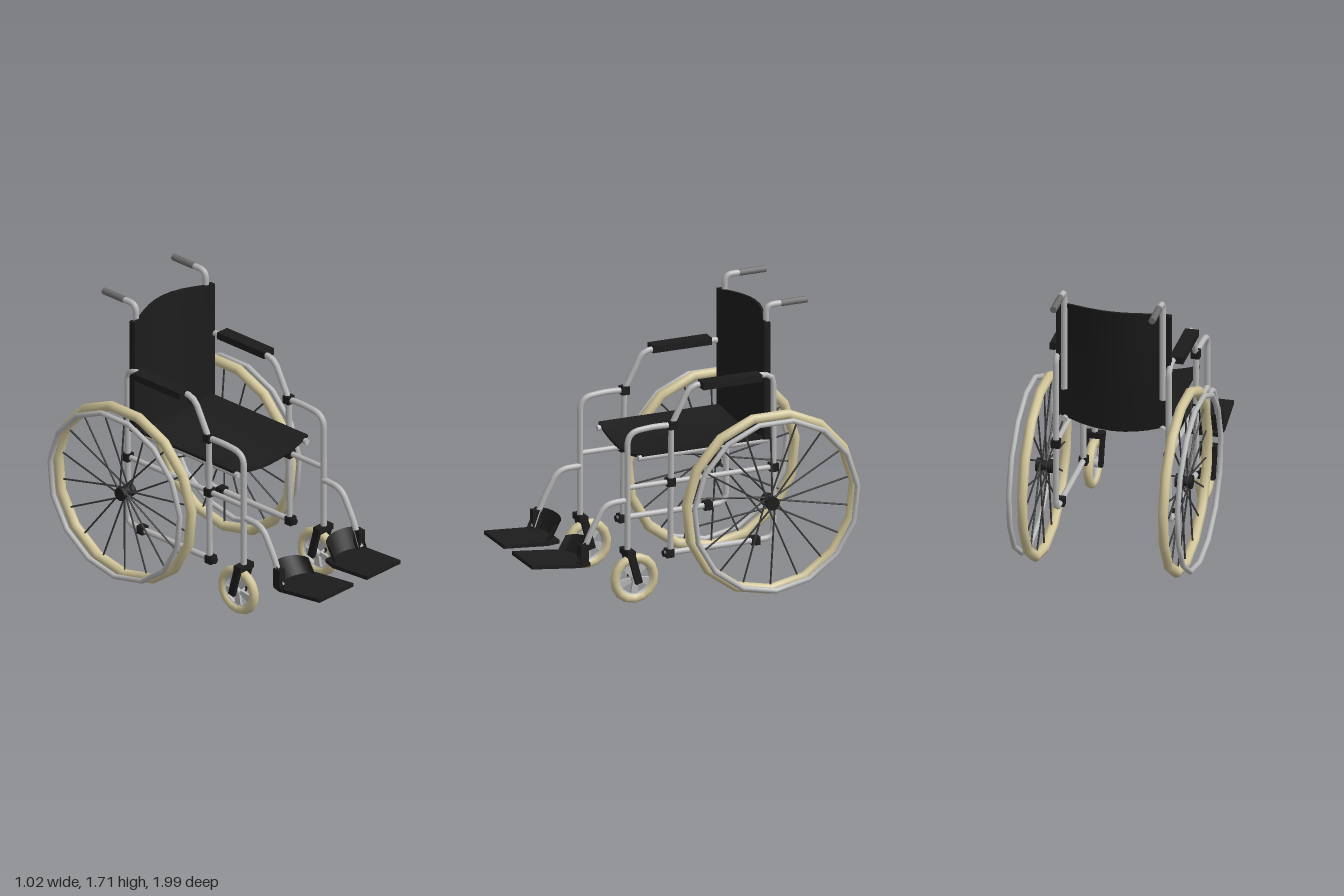
import * as THREE from 'three';

const V = (x, y, z) => new THREE.Vector3(x, y, z);
const mat = (name, color) => Object.assign(new THREE.MeshStandardMaterial({ color }), { name });

export function createModel() {
  const root = new THREE.Group();
  root.name = 'wheelchair';
  const black = mat('black', 0x1c1c1c);
  const silver = mat('silver', 0xb8b8b8);
  const cream = mat('cream rubber', 0xd0c498);
  const grey = mat('grip grey', 0x6c6c6c);
  const dark = mat('spoke grey', 0x3a3a3a);
  const fabric = mat('black strap', 0x1c1c1c);
  fabric.side = THREE.DoubleSide;

  const add = (name, geo, material, parent = root) => {
    const m = new THREE.Mesh(geo, material);
    m.name = name;
    parent.add(m);
    return m;
  };
  const box = (name, w, h, d, x, y, z, material, parent) =>
    add(name, new THREE.BoxGeometry(w, h, d).translate(x, y, z), material, parent);

  // straight round bar between two points
  const rod = (name, a, b, r, material, parent, sides = 8) => {
    const d = b.clone().sub(a);
    const geo = new THREE.CylinderGeometry(r, r, d.length(), sides);
    geo.applyQuaternion(new THREE.Quaternion().setFromUnitVectors(V(0, 1, 0), d.normalize()));
    const c = a.clone().add(b).multiplyScalar(0.5);
    return add(name, geo.translate(c.x, c.y, c.z), material, parent);
  };

  // bent tube in a side plane: points are [z, y], corners rounded by bend
  const bentTube = (name, x, pts, bend, parent, r = 0.018) => {
    const p = pts.map(([z, y]) => V(x, y, z));
    const path = new THREE.CurvePath();
    let from = p[0];
    for (let i = 1; i < p.length - 1; i++) {
      const b = Math.min(bend, p[i].distanceTo(p[i - 1]) * 0.48, p[i].distanceTo(p[i + 1]) * 0.48);
      const toward = (q) => p[i].clone().add(q.clone().sub(p[i]).setLength(b));
      const enter = toward(p[i - 1]), leave = toward(p[i + 1]);
      path.add(new THREE.LineCurve3(from, enter));
      path.add(new THREE.QuadraticBezierCurve3(enter, p[i], leave));
      from = leave;
    }
    path.add(new THREE.LineCurve3(from, p[p.length - 1]));
    return add(name, new THREE.TubeGeometry(path, 60, r, 8), silver, parent);
  };

  // ring with its axis along x and a corner at the bottom
  const ring = (name, R, r, x, y, z, material, parent) => add(name,
    new THREE.TorusGeometry(R, r, 8, 15).rotateZ(-Math.PI / 2).rotateY(Math.PI / 2).translate(x, y, z),
    material, parent);

  // seat: sheet sagging between the rails, deepest at the front
  const seat = new THREE.BoxGeometry(0.62, 0.016, 0.75, 8, 1, 6);
  const sp = seat.attributes.position;
  for (let i = 0; i < sp.count; i++) {
    const u = sp.getX(i) / 0.31, t = sp.getZ(i) / 0.75 + 0.5;
    sp.setY(i, sp.getY(i) + 0.903 - (0.025 + 0.035 * t) * (1 - u * u));
  }
  seat.translate(0, 0, -0.08).computeVertexNormals();
  add('seat', seat, black);

  // backrest: sling bulging backwards, more at the top
  const back = new THREE.BoxGeometry(0.66, 0.7, 0.014, 10, 6, 1);
  const bp = back.attributes.position;
  for (let i = 0; i < bp.count; i++) {
    const u = bp.getX(i) / 0.33, t = bp.getY(i) / 0.7 + 0.5;
    const k = Math.max(0, 1 - u * u);
    bp.setZ(i, bp.getZ(i) - 0.454 - (0.03 + 0.055 * t) * Math.pow(k, 1.4));
    bp.setY(i, 0.9 + 0.7 * t + k * (0.02 * t - 0.06 * (1 - t)));
  }
  back.computeVertexNormals();
  add('backrest', back, black);

  for (const s of [1, -1]) {
    const side = new THREE.Group();
    side.name = s > 0 ? 'leftSide' : 'rightSide';
    root.add(side);
    const X = s * 0.33;

    // frame tubes
    bentTube('frontFrame', X, [[0.4, 0.33], [0.4, 1.06], [0.24, 1.075], [0.126, 1.07]], 0.13, side);
    bentTube('armAndRearFrame', X,
      [[0.126, 1.07], [0.012, 1.29], [-0.505, 1.29], [-0.505, 0.305], [0.17, 0.305]], 0.06, side);
    rod('middleUpright', V(X, 0.305, 0.134), V(X, 1.07, 0.128), 0.018, silver, side);
    rod('middleRail', V(X, 0.73, 0.4), V(X, 0.73, -0.505), 0.016, silver, side);
    rod('seatRail', V(s * 0.285, 0.88, 0.315), V(s * 0.285, 0.88, -0.49), 0.018, silver, side);
    for (const [z, y] of [[0.126, 1.07], [0.134, 0.73], [0.142, 0.305], [-0.505, 0.73], [-0.39, 0.305]])
      box('clamp', 0.05, 0.048, 0.048, X, y, z, black, side);
    rod('railCap', V(X, 0.305, 0.165), V(X, 0.305, 0.18), 0.02, black, side);

    // armrest, sleeve and push handle
    box('armrestPad', 0.08, 0.042, 0.365, s * 0.35, 1.292, -0.228, black, side);
    box('backSleeve', 0.022, 0.7, 0.036, s * 0.324, 1.25, -0.468, black, side);
    bentTube('pushHandlePost', s * 0.288, [[-0.479, 1.08], [-0.479, 1.69], [-0.58, 1.69]], 0.06, side);
    rod('postEnd', V(s * 0.288, 1.07, -0.479), V(s * 0.288, 1.09, -0.479), 0.019, silver, side);
    rod('handGrip', V(s * 0.288, 1.69, -0.567), V(s * 0.288, 1.69, -0.73), 0.02, grey, side, 10);

    // rear wheel
    const wheel = new THREE.Group();
    wheel.name = 'rearWheel';
    side.add(wheel);
    const wx = s * 0.412, wy = 0.552, wz = -0.45;
    ring('tyre', 0.522, 0.03, wx, wy, wz, cream, wheel);
    ring('handRim', 0.508, 0.016, s * 0.493, wy, wz, silver, wheel);
    rod('hub', V(s * 0.385, wy, wz), V(s * 0.44, wy, wz), 0.03, black, wheel, 12);
    rod('innerHubCap', V(s * 0.358, wy, wz), V(s * 0.388, wy, wz), 0.04, black, wheel, 12);
    rod('outerHubCap', V(s * 0.435, wy, wz), V(s * 0.456, wy, wz), 0.04, black, wheel, 12);
    for (let i = 0; i < 18; i++) {
      const a = (i / 18) * Math.PI * 2, b = a + (i % 2 ? 0.9 : -0.9);
      rod('spoke', V(wx + (i % 2 ? 0.018 : -0.018), wy + Math.cos(b) * 0.026, wz + Math.sin(b) * 0.026),
        V(wx, wy + Math.cos(a) * 0.5, wz + Math.sin(a) * 0.5), 0.0055, dark, wheel, 5);
    }

    // caster wheel with five paddle spokes
    const caster = new THREE.Group();
    caster.name = 'casterWheel';
    side.add(caster);
    const cx = s * 0.328, cy = 0.183, cz = 0.357;
    ring('casterTyre', 0.121, 0.028, cx, cy, cz, cream, caster);
    ring('casterRim', 0.103, 0.014, cx, cy, cz, silver, caster);
    rod('casterHub', V(cx - 0.03, cy, cz), V(cx + 0.03, cy, cz), 0.025, silver, caster, 10);
    const paddle = new THREE.Shape([[-0.01, 0.01], [0.01, 0.01], [0.026, 0.1], [-0.026, 0.1]]
      .map((p) => new THREE.Vector2(...p)));
    for (let i = 0; i < 5; i++) {
      const g = new THREE.ExtrudeGeometry(paddle, { depth: 0.016, bevelEnabled: false }).translate(0, 0, -0.008);
      g.rotateZ((i / 5) * Math.PI * 2 + Math.PI).rotateY(Math.PI / 2).translate(cx, cy, cz);
      add('casterSpoke', g, silver, caster);
    }

    // caster fork: crown and two slanted prongs
    box('forkCrown', 0.115, 0.035, 0.05, cx, 0.345, 0.398, black, caster);
    for (const o of [-0.046, 0.046]) {
      const prong = new THREE.BoxGeometry(0.023, 0.19, 0.042).rotateX(0.26);
      add('forkProng', prong.translate(cx + o, 0.257, 0.373), black, caster);
    }
    rod('casterAxle', V(cx - 0.05, cy, cz), V(cx + 0.05, cy, cz), 0.014, black, caster);

    // footrest: hanger, plate and heel loop
    const foot = new THREE.Group();
    foot.name = 'footrest';
    side.add(foot);
    bentTube('footrestHanger', s * 0.326, [[0.4, 0.655], [0.54, 0.65], [0.64, 0.47], [0.69, 0.33]], 0.1, foot);
    const outline = [[0.055, 0.995], [0.335, 0.995], [0.355, 0.7], [0.33, 0.63], [0.1, 0.63], [0.065, 0.72]];
    const plate = new THREE.ExtrudeGeometry(
      new THREE.Shape(outline.map(([x, z]) => new THREE.Vector2(s * x, -z))),
      { depth: 0.022, bevelEnabled: false }).rotateX(-Math.PI / 2);
    const pp = plate.attributes.position;
    for (let i = 0; i < pp.count; i++) pp.setY(i, pp.getY(i) + 0.292 + (pp.getZ(i) - 0.62) * 0.09);
    plate.computeVertexNormals();
    add('footPlate', plate, black, foot);
    box('hangerClamp', 0.045, 0.11, 0.05, s * 0.332, 0.375, 0.675, black, foot);

    // leaning band around the heel
    const N = 12, verts = [], index = [];
    for (let i = 0; i <= N; i++) {
      const a = (i / N) * Math.PI;
      const x = s * (0.215 + 0.128 * Math.cos(a)), z = 0.73 - 0.09 * Math.sin(a);
      verts.push(x, 0.315, z, x, 0.443 - 0.035 * (i / N), z - 0.055);
      if (i < N) index.push(2 * i, 2 * i + 2, 2 * i + 1, 2 * i + 1, 2 * i + 2, 2 * i + 3);
    }
    const band = new THREE.BufferGeometry();
    band.setAttribute('position', new THREE.Float32BufferAttribute(verts, 3));
    band.setIndex(index);
    band.computeVertexNormals();
    add('heelLoop', band, fabric, foot);
  }
  return root;
}
